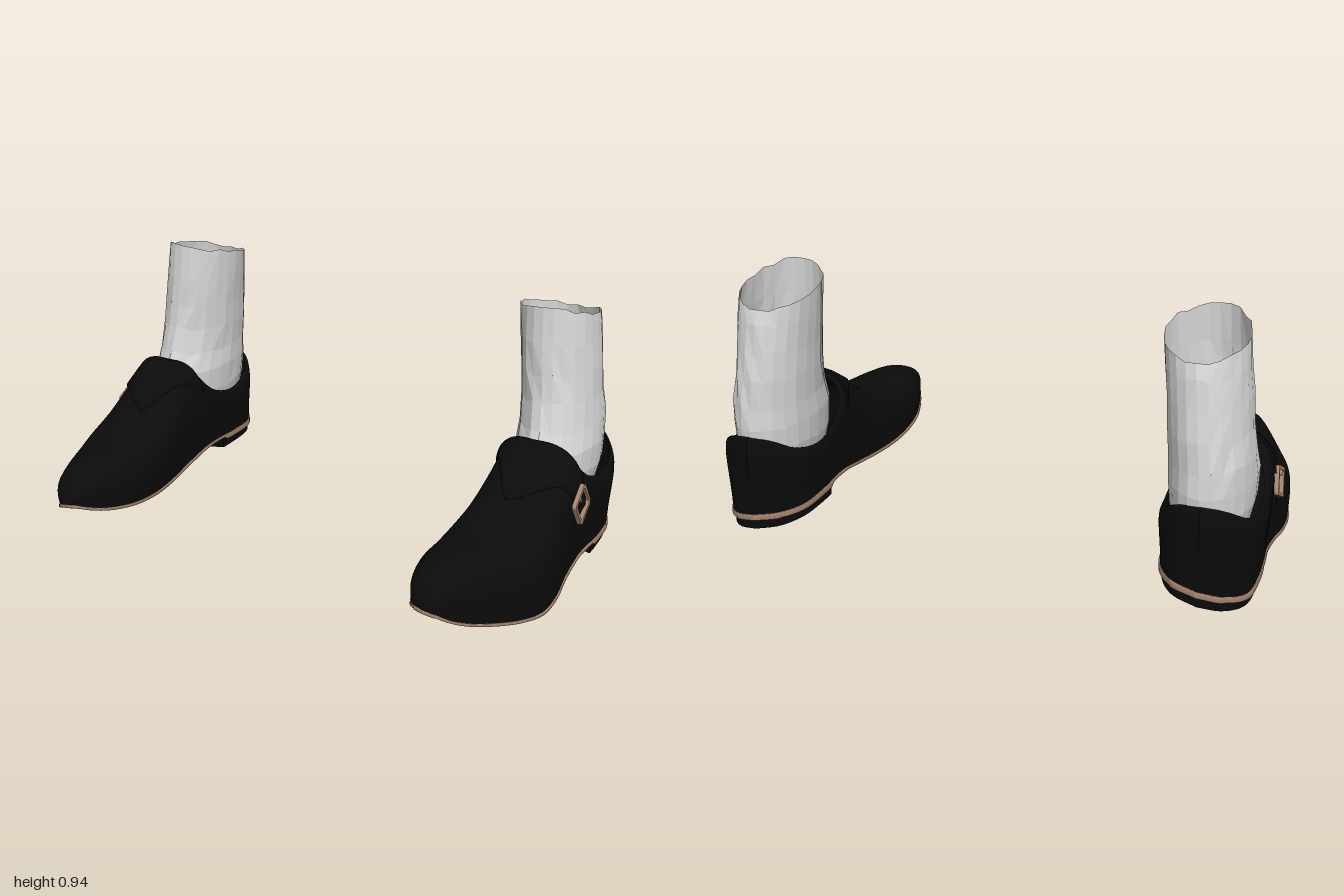
import * as THREE from 'three';

const mat = (name, color) => {
  const m = new THREE.MeshStandardMaterial({ color, side: THREE.DoubleSide });
  m.name = name;
  return m;
};

// Stations from heel back to toe tip:
// [z, outer x, inner x, sole height, top z, top y, top outer x, top inner x]
const ROWS = [
  [-0.6, 0.81, 0.81, 0.062, -0.597, 0.395, 0.81, 0.81],
  [-0.575, 0.89, 0.72, 0.06, -0.575, 0.382, 0.88, 0.735],
  [-0.5, 0.955, 0.665, 0.056, -0.5, 0.333, 0.945, 0.68],
  [-0.37, 0.972, 0.648, 0.058, -0.37, 0.306, 0.962, 0.655],
  [-0.25, 0.97, 0.65, 0.062, -0.25, 0.337, 0.95, 0.655],
  [-0.18, 0.965, 0.652, 0.058, -0.18, 0.392, 0.925, 0.665],
  [-0.15, 0.965, 0.652, 0.054, -0.15, 0.435, 0.89, 0.69],
  [-0.12, 0.965, 0.652, 0.048, -0.122, 0.478, 0.785, 0.785],
  [-0.04, 0.968, 0.65, 0.034, -0.04, 0.428, 0.785, 0.785],
  [0.08, 0.982, 0.632, 0.022, 0.08, 0.342, 0.78, 0.78],
  [0.2, 0.98, 0.614, 0.02, 0.2, 0.296, 0.77, 0.77],
  [0.3, 0.945, 0.608, 0.026, 0.3, 0.282, 0.765, 0.765],
  [0.4, 0.895, 0.612, 0.042, 0.4, 0.283, 0.755, 0.755],
  [0.5, 0.842, 0.638, 0.068, 0.5, 0.275, 0.74, 0.74],
  [0.57, 0.8, 0.67, 0.098, 0.565, 0.25, 0.735, 0.735],
  [0.603, 0.765, 0.7, 0.118, 0.595, 0.21, 0.732, 0.732],
  [0.614, 0.73, 0.73, 0.123, 0.61, 0.18, 0.73, 0.73],
];
const LAST = ROWS.length - 1;
const ROLL = 0.18; // the foot leans to its outer side
const spline = (f) => new THREE.CatmullRomCurve3(ROWS.map(f));
const V = (x, y, z) => new THREE.Vector3(x, y, z);
const base = {
  1: spline((r) => V(r[1], r[3] + ROLL * (0.97 - r[1]), r[0])),
  '-1': spline((r) => V(r[2], r[3] + ROLL * (0.97 - r[2]), r[0])),
};
const top = {
  1: spline((r) => V(r[6], r[5], r[4])),
  '-1': spline((r) => V(r[7], r[5], r[4])),
};
const baseAt = (side, u) => base[side].getPoint(THREE.MathUtils.clamp(u / LAST, 0, 1));

// Point on the upper: u along the foot, t from sole edge to collar or ridge
function upperAt(side, u, t) {
  const b = baseAt(side, u);
  const e = top[side].getPoint(THREE.MathUtils.clamp(u / LAST, 0, 1));
  const p = THREE.MathUtils.lerp(0.62, 0.78, THREE.MathUtils.smoothstep(u, 8, 13));
  const a = (t * Math.PI) / 2;
  const f = t >= 1 ? 1 : 1 - Math.cos(a) ** p;
  const g = Math.sin(a) ** p;
  const swell = Math.sin(Math.PI * t);
  const width = Math.min(1, u, LAST - u);
  return V(
    b.x + (e.x - b.x) * f + side * 0.013 * swell * width,
    b.y + (e.y - b.y) * g,
    b.z + (e.z - b.z) * f - 0.015 * swell * Math.max(0, 1 - u)
  );
}

// Grid surface from a point function
function surface(fn, nu, nv, flip = false) {
  const pos = [], idx = [];
  for (let i = 0; i <= nu; i++) for (let j = 0; j <= nv; j++) pos.push(...fn(i / nu, j / nv).toArray());
  for (let i = 0; i < nu; i++) for (let j = 0; j < nv; j++) {
    const a = i * (nv + 1) + j, b = a + nv + 1;
    if (flip) idx.push(a, a + 1, b, b, a + 1, b + 1);
    else idx.push(a, b, a + 1, b, b + 1, a + 1);
  }
  const geo = new THREE.BufferGeometry();
  geo.setAttribute('position', new THREE.Float32BufferAttribute(pos, 3));
  geo.setIndex(idx);
  geo.computeVertexNormals();
  return geo;
}

function createShoe(M) {
  const shoe = new THREE.Group();
  const add = (name, geo, m) => {
    const mesh = new THREE.Mesh(geo, m);
    mesh.name = name;
    shoe.add(mesh);
    return mesh;
  };
  const heelEnd = 3.58;
  const weltDepth = (u) => (u < heelEnd ? 0.022 : 0.011);

  for (const side of [1, -1]) {
    const label = side > 0 ? 'outer' : 'inner';
    add(label + 'Upper', surface((a, t) => upperAt(side, a * LAST, t), 96, 18, side > 0), M.leather);

    // Welt strip round the sole edge, deeper at the heel
    add(label + 'Welt', surface((a, t) => {
      const u = a * LAST, p = baseAt(side, u);
      const k = [0, 0.005, 0.005, 0][Math.round(t * 3)];
      p.x += side * k * Math.min(1, u, LAST - u);
      p.z += u < 1 ? -k : u > LAST - 1 ? k : 0;
      if (t > 0.5) p.y -= weltDepth(u);
      return p;
    }, 120, 3, side > 0), M.trim);

    // Strap flap across the instep, tapering down each side
    const [tEnd, frontEnd, backEnd] = side > 0 ? [0.13, 7.25, 5.6] : [0.4, 7.0, 6.0];
    add(label + 'Strap', surface((a, b) => {
      const edge = a === 0 || a === 1 || b === 1;
      const v = b;
      const k = THREE.MathUtils.clamp((a - 0.08) / 0.84, 0, 1);
      const front = THREE.MathUtils.lerp(9.05, frontEnd, v ** 0.8);
      const back = THREE.MathUtils.lerp(7.02, backEnd, v);
      const p = upperAt(side, THREE.MathUtils.lerp(back, front, k), THREE.MathUtils.lerp(1, tEnd, v));
      const out = V(p.x - 0.785, p.y - 0.15, 0).normalize();
      return p.addScaledVector(out, edge ? -0.004 : 0.012);
    }, 12, 20, side < 0), M.leather);
  }

  // Underside of the sole
  add('sole', surface((a, t) => {
    const u = a * LAST;
    const p = baseAt(1, u).lerp(baseAt(-1, u), t);
    p.y -= weltDepth(u) - 0.001;
    return p;
  }, 96, 6), M.leather);

  // Heel block
  const heelRing = (a) => {
    const s = a * 2 - 1;
    const p = baseAt(s < 0 ? 1 : -1, Math.abs(s) * heelEnd);
    p.x = 0.81 + (p.x - 0.81) * 0.96;
    p.z = -0.3 + (p.z + 0.3) * 0.98;
    return p;
  };
  const ground = (p) => V(p.x, Math.max(0, ROLL * (0.96 - p.x) + 0.004), p.z);
  add('heelWall', surface((a, t) => {
    const p = heelRing(a), g = ground(p);
    p.y -= 0.021;
    return p.lerp(g, t);
  }, 48, 2), M.leather);
  add('heelBottom', surface((a, t) => {
    const p = heelRing(a / 2).lerp(heelRing(1 - a / 2), t);
    return ground(p);
  }, 24, 2, true), M.leather);
  add('heelBreast', surface((a, t) => {
    const p = heelRing(0).lerp(heelRing(1), a), g = ground(p);
    p.y -= 0.008;
    return p.lerp(g, t);
  }, 4, 1), M.leather);

  // Ankle sock: rings of [y, inner x, outer x, front z, back z]
  const rings = [
    [0.25, 0.68, 0.925, -0.14, -0.575],
    [0.33, 0.662, 0.942, -0.12, -0.592],
    [0.42, 0.655, 0.945, -0.12, -0.6],
    [0.5, 0.655, 0.938, -0.155, -0.595],
    [0.6, 0.647, 0.925, -0.18, -0.587],
    [0.7, 0.64, 0.915, -0.188, -0.575],
    [0.8, 0.63, 0.905, -0.197, -0.562],
    [0.9, 0.622, 0.897, -0.206, -0.55],
  ];
  let seed = 7;
  const rand = () => (seed = (seed * 16807) % 2147483647) / 2147483647 - 0.5;
  const SIDES = 24;
  const jitter = rings.map(() => Array.from({ length: SIDES }, rand));
  const sock = surface((a, b) => {
    const k = Math.round(b * (rings.length - 1)), i = Math.round(a * SIDES) % SIDES;
    const [y, x0, x1, z0, z1] = rings[k];
    const ang = (i / SIDES) * Math.PI * 2, j = jitter[k][i];
    const r = 1 + j * 0.035, c = Math.cos(ang);
    const lift = k === rings.length - 1 ? 0.042 * c + j * 0.018 : j * 0.02;
    return V(
      (x0 + x1) / 2 + (Math.sin(ang) * r * (x1 - x0)) / 2,
      y + lift,
      (z0 + z1) / 2 + (c * r * (z0 - z1)) / 2
    );
  }, SIDES, rings.length - 1).toNonIndexed();
  sock.computeVertexNormals();
  add('sock', sock, M.sock);

  // Buckle frame and prong on the outer side
  const rounded = (Cls, w, h, r) => {
    const s = new Cls();
    s.moveTo(-w + r, -h).lineTo(w - r, -h).quadraticCurveTo(w, -h, w, -h + r)
      .lineTo(w, h - r).quadraticCurveTo(w, h, w - r, h)
      .lineTo(-w + r, h).quadraticCurveTo(-w, h, -w, h - r)
      .lineTo(-w, -h + r).quadraticCurveTo(-w, -h, -w + r, -h);
    return s;
  };
  const frame = rounded(THREE.Shape, 0.056, 0.052, 0.014);
  frame.holes.push(rounded(THREE.Path, 0.044, 0.04, 0.008));
  const buckle = new THREE.Group();
  buckle.name = 'buckle';
  const frameMesh = new THREE.Mesh(new THREE.ExtrudeGeometry(frame, { depth: 0.016, bevelEnabled: false, curveSegments: 5 }), M.trim);
  frameMesh.name = 'buckleFrame';
  const prong = new THREE.Mesh(new THREE.BoxGeometry(0.008, 0.022, 0.008), M.trim);
  prong.name = 'buckleProng';
  prong.position.set(-0.005, 0.032, 0.012);
  buckle.add(frameMesh, prong);
  buckle.rotation.set(0, Math.PI / 2, 0);
  buckle.rotateX(-0.11);
  buckle.rotateZ(0.51);
  buckle.position.set(0.974, 0.29, -0.11);
  shoe.add(buckle);
  return shoe;
}

export function createModel() {
  const M = {
    leather: mat('black leather', 0x0b0b0b),
    trim: mat('tan trim', 0xa8866e),
    sock: mat('pale grey sock', 0xd8d8d8),
  };
  const model = new THREE.Group();
  model.name = 'pairOfShoes';
  const left = createShoe(M);
  left.name = 'leftShoe';
  const right = createShoe(M);
  right.name = 'rightShoe';
  right.scale.x = -1;
  model.add(left, right);
  return model;
}
